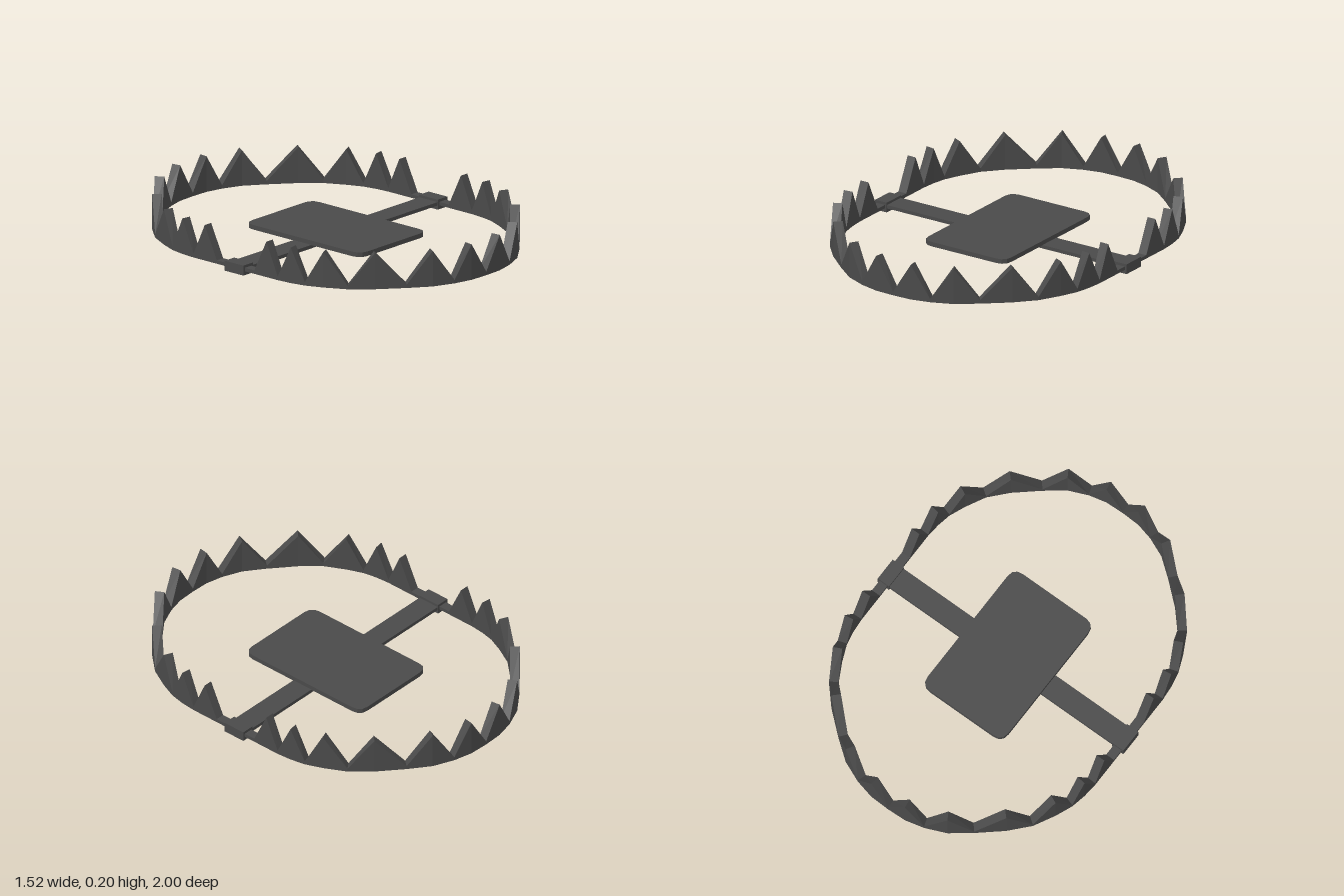
import * as THREE from 'three';

const material = new THREE.MeshStandardMaterial({ color: 0x4a4a4a, flatShading: true });

// Quarter of the jaw outline: [x, z, top height], alternating valleys and tooth tips
const LOW = 0.038, TIP = 0.205;
const quarter = [
  [0.75, 0, LOW], [0.75, 0.125, LOW], [0.75, 0.205, TIP], [0.75, 0.28, LOW],
  [0.743, 0.36, TIP], [0.727, 0.44, LOW], [0.69, 0.53, TIP], [0.632, 0.64, LOW],
  [0.542, 0.74, TIP], [0.42, 0.845, LOW], [0.315, 0.925, TIP], [0.205, 0.972, LOW],
  [0.105, 0.996, TIP], [0, 1, LOW],
];

// Mirror the front half to the back jaw
function jawGeometry() {
  const left = quarter, right = quarter.slice(1, -1).reverse().map(([x, z, y]) => [-x, z, y]);
  const half = [...left, ...right, [-0.75, 0, LOW]];
  const loop = [...half, ...half.slice(1, -1).reverse().map(([x, z, y]) => [x, -z, y])];
  const n = loop.length, thick = 0.048, bottom = 0.02;
  const pos = [], idx = [];
  loop.forEach(([x, z, y], i) => {
    const a = loop[(i + n - 1) % n], b = loop[(i + 1) % n];
    const dx = b[0] - a[0], dz = b[1] - a[1], l = Math.hypot(dx, dz);
    // inward normal of the outline
    const ix = x - (dz / l) * thick, iz = z + (dx / l) * thick;
    pos.push(x, bottom, z, x, y, z, ix, y, iz, ix, bottom, iz);
    const p = i * 4, q = ((i + 1) % n) * 4;
    for (let k = 0; k < 4; k++) {
      const m = (k + 1) % 4;
      idx.push(p + k, p + m, q + m, p + k, q + m, q + k);
    }
  });
  const g = new THREE.BufferGeometry();
  g.setAttribute('position', new THREE.Float32BufferAttribute(pos, 3));
  g.setIndex(idx);
  const flat = g.toNonIndexed();
  flat.computeVertexNormals();
  return flat;
}

// Flat plate with rounded corners
function plateGeometry(w, d, h, r) {
  const s = new THREE.Shape(), x = w / 2, y = d / 2;
  s.moveTo(-x + r, -y);
  s.lineTo(x - r, -y).quadraticCurveTo(x, -y, x, -y + r);
  s.lineTo(x, y - r).quadraticCurveTo(x, y, x - r, y);
  s.lineTo(-x + r, y).quadraticCurveTo(-x, y, -x, y - r);
  s.lineTo(-x, -y + r).quadraticCurveTo(-x, -y, -x + r, -y);
  return new THREE.ExtrudeGeometry(s, { depth: h, bevelEnabled: false, curveSegments: 3 })
    .rotateX(-Math.PI / 2);
}

export function createModel() {
  const group = new THREE.Group();
  const add = (name, geometry, x, y, z) => {
    const mesh = new THREE.Mesh(geometry, material);
    mesh.name = name;
    mesh.position.set(x, y, z);
    group.add(mesh);
  };

  add('toothedJaws', jawGeometry(), 0, 0, 0);
  add('crossBar', new THREE.BoxGeometry(1.4, 0.018, 0.12), 0, 0.03, 0);
  add('triggerPlate', plateGeometry(0.5, 0.77, 0.024, 0.055), 0, 0.037, 0);

  // Hinge clips wrapped round the jaws at each end of the bar
  for (const side of [1, -1]) {
    add(side > 0 ? 'leftHinge' : 'rightHinge',
      new THREE.BoxGeometry(0.07, 0.052, 0.124), side * 0.726, 0.026, 0);
  }
  return group;
}
